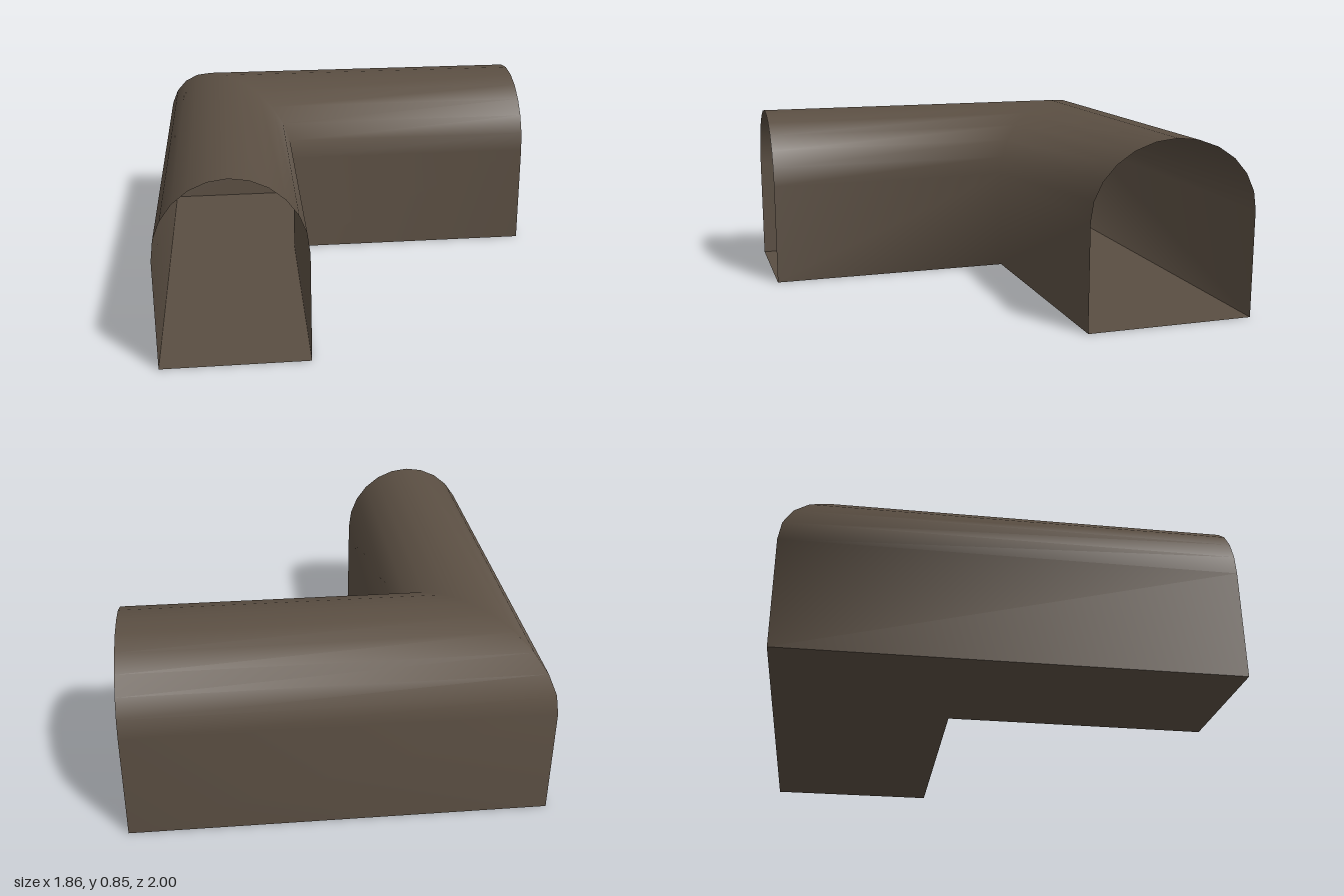
import * as THREE from 'three';

// Plan extents of the two arms and heights of the vault
const X0 = -0.93, X1 = -0.28, Z0 = -1, Z1 = -0.2;
const END_X = 0.93, END_Z = 1, SPRING = 0.5, TOP = 0.845;

// Sweep a profile of [across 0..1, height] points round the mitred corner
function sweep(profile) {
  const positions = [], index = [], n = profile.length;
  for (let s = 0; s < 3; s++) {
    for (const [t, y] of profile) {
      const x = s === 2 ? END_X : THREE.MathUtils.lerp(X0, X1, t);
      const z = s === 0 ? END_Z : THREE.MathUtils.lerp(Z0, Z1, t);
      positions.push(x, y, z);
    }
  }
  for (let s = 0; s < 2; s++) {
    for (let j = 0; j < n - 1; j++) {
      const a = s * n + j, b = a + 1, c = a + n, d = c + 1;
      index.push(a, b, c, b, d, c);
    }
  }
  const geometry = new THREE.BufferGeometry();
  geometry.setAttribute('position', new THREE.Float32BufferAttribute(positions, 3));
  geometry.setIndex(index);
  geometry.computeVertexNormals();
  return geometry;
}

export function createModel() {
  const group = new THREE.Group();
  group.name = 'cornerTunnel';
  const stone = new THREE.MeshStandardMaterial({ color: 0x5a4e42, side: THREE.DoubleSide });
  stone.name = 'brownStone';

  // Straight walls topped by a rounded vault
  const arch = [[0, 0]];
  const segments = 12;
  for (let i = 0; i <= segments; i++) {
    const a = Math.PI * i / segments;
    arch.push([0.5 - 0.5 * Math.cos(a), SPRING + (TOP - SPRING) * Math.sin(a)]);
  }
  arch.push([1, 0]);

  const parts = { wallsAndVault: arch, floor: [[1, 0], [0, 0]] };
  for (const [name, profile] of Object.entries(parts)) {
    const mesh = new THREE.Mesh(sweep(profile), stone);
    mesh.name = name;
    group.add(mesh);
  }
  return group;
}
